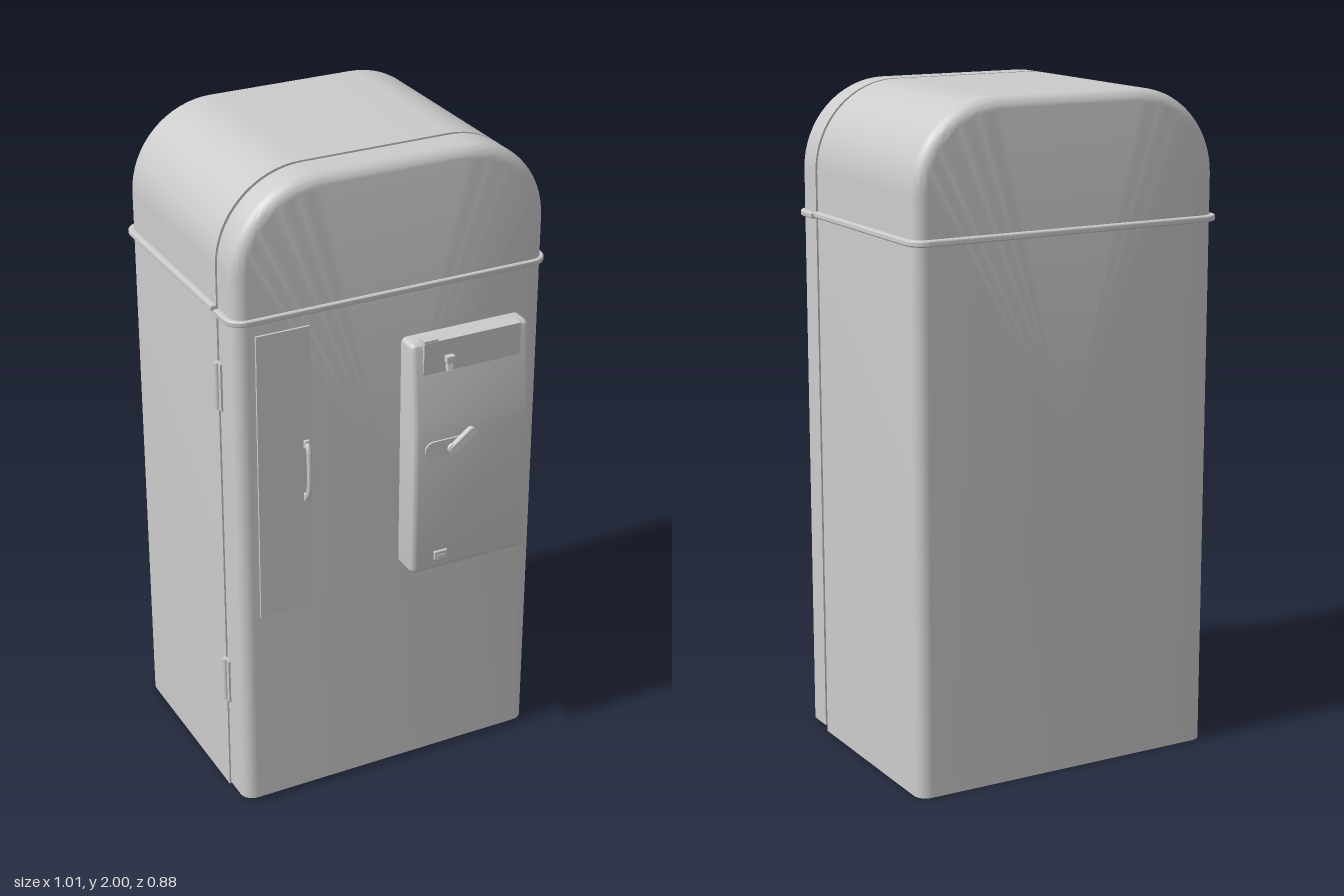
import * as THREE from 'three';
import { toCreasedNormals } from 'three/addons/utils/BufferGeometryUtils.js';
import { RoundedBoxGeometry } from 'three/addons/geometries/RoundedBoxGeometry.js';

const material = new THREE.MeshStandardMaterial({ color: 0xcccccc });
const HALF_W = 0.49, TOP = 2, ARCH_R = 0.26, EDGE_R = 0.04;

function add(parent, name, geometry, x = 0, y = 0, z = 0) {
  const mesh = new THREE.Mesh(geometry, material);
  mesh.name = name;
  mesh.position.set(x, y, z);
  parent.add(mesh);
  return mesh;
}

// Arched outline, counterclockwise, inset from the cabinet's silhouette
function archOutline(inset, y0) {
  const pts = [[HALF_W - inset, y0]];
  const r = ARCH_R - inset, cx = HALF_W - ARCH_R, cy = TOP - ARCH_R, n = 16;
  for (const side of [0, 1]) {
    for (let i = 0; i <= n; i++) {
      const a = (side + i / n) * Math.PI / 2;
      pts.push([(side ? -cx : cx) + r * Math.cos(a), cy + r * Math.sin(a)]);
    }
  }
  pts.push([-HALF_W + inset, y0]);
  return pts;
}

// Arched shell lofted along z, flat at zFlat and with a rounded rim at zRound
function archShell(zFlat, zRound, y0, inset = 0, edge = EDGE_R) {
  const dir = Math.sign(zRound - zFlat), steps = 8;
  let rings = [{ z: zFlat, pts: archOutline(inset, y0) }];
  for (let i = 0; i <= steps; i++) {
    const a = i / steps * Math.PI / 2;
    rings.push({
      z: zRound - dir * edge * (1 - Math.sin(a)),
      pts: archOutline(inset + edge * (1 - Math.cos(a)), y0),
    });
  }
  if (dir < 0) rings.reverse();
  const pos = [], count = rings[0].pts.length;
  const at = (i, j) => [...rings[i].pts[j % count], rings[i].z];
  const tri = (...corners) => corners.forEach(c => pos.push(...c));
  const last = rings.length - 1;
  for (let j = 0; j < count; j++) {
    for (let i = 0; i < last; i++) {
      tri(at(i, j), at(i, j + 1), at(i + 1, j + 1));
      tri(at(i, j), at(i + 1, j + 1), at(i + 1, j));
    }
    tri([0, 1, rings[0].z], at(0, j + 1), at(0, j));
    tri([0, 1, rings[last].z], at(last, j), at(last, j + 1));
  }
  const g = new THREE.BufferGeometry();
  g.setAttribute('position', new THREE.Float32BufferAttribute(pos, 3));
  return toCreasedNormals(g, 0.5);
}

// U-shaped trim strip lying flat, wrapped around one end of the cabinet
function bandGeometry(length) {
  const w = 0.5, inner = 0.45, r = 0.05, s = new THREE.Shape();
  s.moveTo(-w, 0);
  s.lineTo(-w, -length + r);
  s.absarc(-w + r, -length + r, r, Math.PI, Math.PI * 1.5, false);
  s.absarc(w - r, -length + r, r, Math.PI * 1.5, Math.PI * 2, false);
  s.lineTo(w, 0);
  s.lineTo(inner, 0);
  s.lineTo(inner, -length + r);
  s.lineTo(-inner, -length + r);
  s.lineTo(-inner, 0);
  const g = new THREE.ExtrudeGeometry(s, {
    depth: 0.008, bevelThickness: 0.005, bevelSize: 0.005, bevelSegments: 3, curveSegments: 8,
  });
  g.rotateX(Math.PI / 2);
  return toCreasedNormals(g, 0.7);
}

// Side profile of (z, y) points extruded across x, centred
function sideExtrude(points, width, bevel) {
  const s = new THREE.Shape(points.map(p => new THREE.Vector2(...p)));
  const g = new THREE.ExtrudeGeometry(s, {
    depth: width - 2 * bevel, bevelEnabled: bevel > 0,
    bevelThickness: bevel, bevelSize: bevel, bevelOffset: -bevel, bevelSegments: 5,
  });
  g.translate(0, 0, -(width - 2 * bevel) / 2);
  g.rotateY(-Math.PI / 2);
  return toCreasedNormals(g, 0.5);
}

// Pill-shaped plate facing +z
function pillGeometry(width, height, depth) {
  const r = height / 2, c = width / 2 - r, s = new THREE.Shape();
  s.absarc(c, 0, r, -Math.PI / 2, Math.PI / 2, false);
  s.absarc(-c, 0, r, Math.PI / 2, Math.PI * 1.5, false);
  const g = new THREE.ExtrudeGeometry(s, { depth, bevelEnabled: false, curveSegments: 10 });
  return toCreasedNormals(g, 0.6);
}

export function createModel() {
  const model = new THREE.Group();

  // Cabinet, gasket in the seam, and the full-height door
  add(model, 'cabinet', archShell(0.2, -0.42, 0));
  add(model, 'doorGasket', archShell(0.19, 0.22, 0.03, 0.032, 0.001));
  add(model, 'frontDoor', archShell(0.212, 0.32, 0.015));

  // Trim band, split at the door seam
  add(model, 'rearBand', bandGeometry(0.63), 0, 1.619, 0.195);
  const frontBand = add(model, 'frontBand', bandGeometry(0.108), 0, 1.606, 0.217);
  frontBand.rotation.x = Math.PI;

  // Door hinges on one side
  for (const [name, y] of [['upperHinge', 1.38], ['lowerHinge', 0.395]]) {
    const hinge = new THREE.Group();
    hinge.name = name;
    add(hinge, 'hingeLeaf', new THREE.BoxGeometry(0.012, 0.145, 0.035), -0.49, y, 0.212);
    add(hinge, 'hingeBarrel', new THREE.CylinderGeometry(0.009, 0.009, 0.145, 16), -0.496, y, 0.206);
    model.add(hinge);
  }

  // Narrow bottle door with its pull handle
  add(model, 'bottleDoor', new THREE.BoxGeometry(0.165, 0.905, 0.016), -0.348, 1.113, 0.319);
  const arc = new THREE.CatmullRomCurve3([
    [1.022, 0.322], [1.04, 0.34], [1.08, 0.346], [1.15, 0.346], [1.19, 0.34], [1.208, 0.322],
  ].map(([y, z]) => new THREE.Vector3(-0.28, y, z)));
  add(model, 'bottleDoorHandle', new THREE.TubeGeometry(arc, 30, 0.008, 10));
  for (const y of [1.03, 1.2]) {
    add(model, 'handleFoot', new RoundedBoxGeometry(0.018, 0.026, 0.012, 2, 0.004), -0.28, y, 0.329);
  }

  // Coin box: housing with a sloping upper face
  const coinBox = new THREE.Group();
  coinBox.name = 'coinBox';
  model.add(coinBox);
  const housing = [
    [0.29, 0.72], [0.39, 0.72], [0.4, 0.724], [0.406, 0.735], [0.406, 1.17], [0.404, 1.21],
    [0.384, 1.44], [0.38, 1.455], [0.37, 1.463], [0.29, 1.463],
  ];
  add(coinBox, 'coinHousing', sideExtrude(housing, 0.385, 0.016), 0.217);

  // Coin entry plate, slot piece and top tab
  const plate = [[0.35, 1.365], [0.391, 1.365], [0.394, 1.466], [0.35, 1.466]];
  add(coinBox, 'coinPlate', sideExtrude(plate, 0.315, 0), 0.217);
  add(coinBox, 'coinSlot', new THREE.BoxGeometry(0.026, 0.02, 0.03), 0.138, 1.407, 0.396);
  const slotStem = add(coinBox, 'coinSlotStem', new THREE.BoxGeometry(0.016, 0.042, 0.016), 0.138, 1.39, 0.397);
  slotStem.rotation.x = -0.25;
  add(coinBox, 'coinTab', new THREE.BoxGeometry(0.045, 0.012, 0.03), 0.082, 1.466, 0.378);

  // Turn lever on its pill-shaped plate
  add(coinBox, 'leverPlate', pillGeometry(0.14, 0.05, 0.014), 0.13, 1.13, 0.398);
  const boss = add(coinBox, 'leverBoss', new THREE.CylinderGeometry(0.015, 0.015, 0.025, 20), 0.145, 1.125, 0.412);
  boss.rotation.x = Math.PI / 2;
  const lever = add(coinBox, 'lever', pillGeometry(0.1, 0.026, 0.018), 0.174, 1.147, 0.415);
  lever.rotation.set(0, -0.1, 0.72);

  // Coin return and side lock
  add(coinBox, 'coinReturn', new RoundedBoxGeometry(0.045, 0.03, 0.016, 2, 0.004), 0.118, 0.77, 0.405);
  add(coinBox, 'coinReturnFlap', new THREE.BoxGeometry(0.026, 0.014, 0.006), 0.118, 0.766, 0.413);
  const lock = add(coinBox, 'sideLock', new THREE.CylinderGeometry(0.014, 0.014, 0.02, 20), 0.41, 1.13, 0.365);
  lock.rotation.z = Math.PI / 2;
  add(coinBox, 'lockKeyway', new THREE.BoxGeometry(0.004, 0.018, 0.004), 0.42, 1.13, 0.365);

  return model;
}
